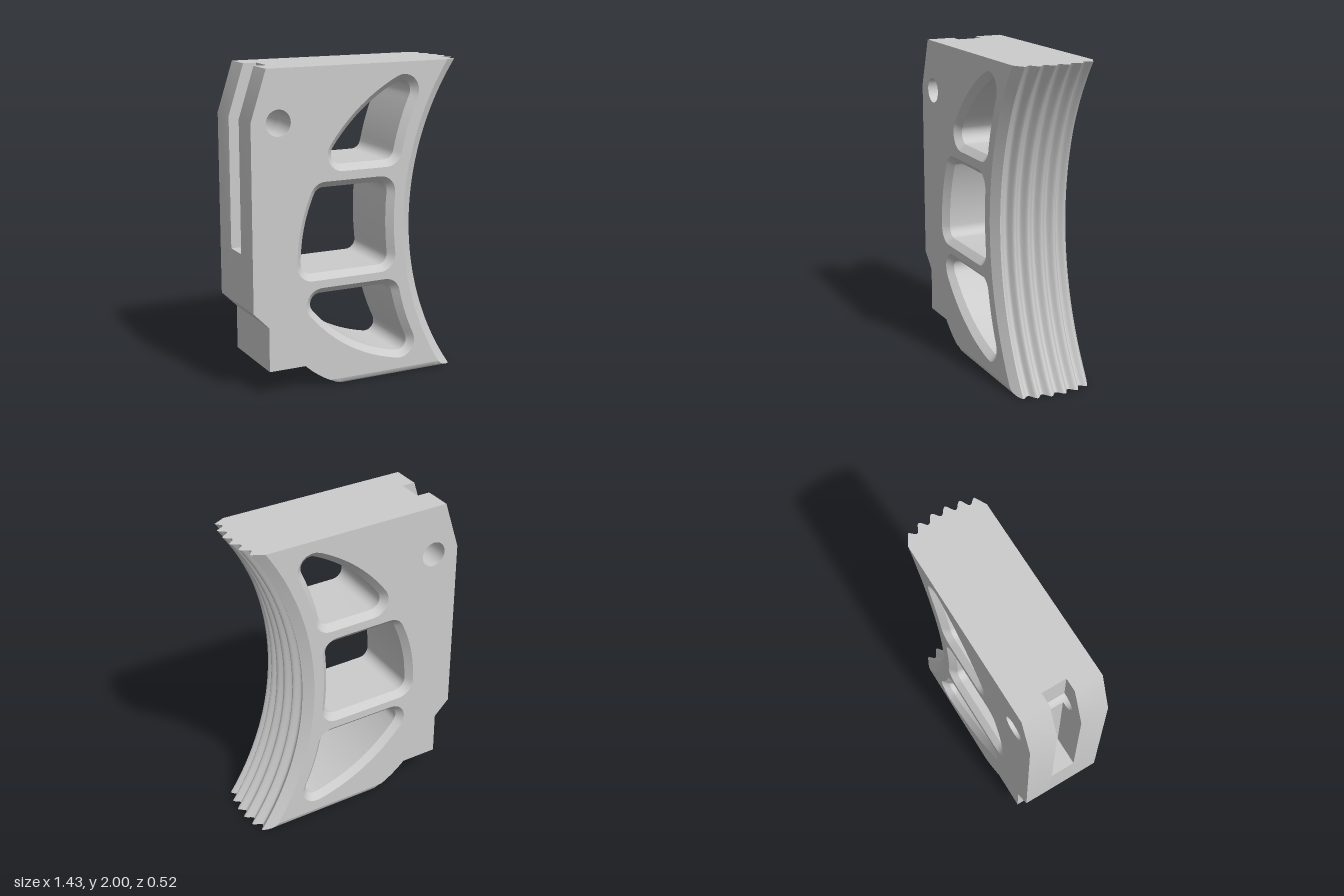
import * as THREE from 'three';
import { toCreasedNormals } from 'three/addons/utils/BufferGeometryUtils.js';

const HALF = 0.26, SLOT = 0.08, CHAMFER = 0.04, FILLET = 0.04;
const AXIS_X = 2.11; // axis of the concave ribbed face, at y = 1
const material = new THREE.MeshStandardMaterial({ color: 0xcccccc });

function addMesh(group, name, geometry) {
  const mesh = new THREE.Mesh(geometry, material);
  mesh.name = name;
  group.add(mesh);
}

// Surface from a grid of points f(i, j); faces along du x dv
function grid(nu, nv, f) {
  const pos = [];
  for (let i = 0; i < nu - 1; i++) {
    for (let j = 0; j < nv - 1; j++) {
      const a = f(i, j), b = f(i + 1, j), c = f(i + 1, j + 1), d = f(i, j + 1);
      pos.push(...a, ...b, ...c, ...a, ...c, ...d);
    }
  }
  const geo = new THREE.BufferGeometry();
  geo.setAttribute('position', new THREE.Float32BufferAttribute(pos, 3));
  geo.computeVertexNormals();
  return toCreasedNormals(geo, 0.5);
}

// Points of an edge from a to b, bowed outward by bulge (end point left out)
function bowed(a, b, bulge, n = 12) {
  const dx = b[0] - a[0], dy = b[1] - a[1], len = Math.hypot(dx, dy);
  return Array.from({ length: n }, (_, i) => {
    const t = i / n, h = bulge * 4 * t * (1 - t) / len;
    return [a[0] + dx * t + dy * h, a[1] + dy * t - dx * h];
  });
}

// Closed loop grown outward by r, with round corners
function offsetLoop(core, r) {
  const out = [], n = core.length;
  const normalAngle = (a, b) => Math.atan2(a[0] - b[0], b[1] - a[1]);
  core.forEach((p, i) => {
    const a0 = normalAngle(core[(i + n - 1) % n], p);
    let turn = normalAngle(p, core[(i + 1) % n]) - a0;
    turn = Math.atan2(Math.sin(turn), Math.cos(turn));
    const steps = turn > 0.2 ? [0, 1, 2, 3, 4, 5, 6, 7, 8].map(k => k / 8) : [0.5];
    for (const s of steps) {
      const a = a0 + turn * s;
      out.push([p[0] + r * Math.cos(a), p[1] + r * Math.sin(a)]);
    }
  });
  return out;
}

function arc(cx, cy, r, a0, a1, n = 32) {
  return Array.from({ length: n + 1 }, (_, i) => {
    const a = a0 + (a1 - a0) * i / n;
    return [cx + r * Math.cos(a), cy + r * Math.sin(a)];
  });
}

const toVectors = pts => pts.map(p => new THREE.Vector2(p[0], p[1]));

// Flat sheet at height z, facing +z or -z
function sheet(pts, holes, z, facing) {
  const shape = new THREE.Shape(toVectors(pts));
  shape.holes = holes.map(h => new THREE.Path(toVectors(h)));
  const geo = new THREE.ShapeGeometry(shape);
  if (facing < 0) {
    const idx = geo.index.array;
    for (let i = 0; i < idx.length; i += 3) [idx[i], idx[i + 1]] = [idx[i + 1], idx[i]];
    geo.computeVertexNormals();
  }
  return geo.translate(0, 0, z);
}

// Bottom edges are rounded towards the two faces
function lift(z) {
  const t = Math.max(0, (Math.abs(z) - (HALF - FILLET)) / FILLET);
  return FILLET * (1 - Math.sqrt(Math.max(0, 1 - t * t)));
}

const liftPoints = (pts, z) => pts.map(([x, y]) => [x, Math.max(y, lift(z))]);

// Rib profile [z, x at the top end]: straight flanks, then waves
function ribProfile() {
  const half = [[-0.22, 0.674], [-0.175, 0.645], [-0.135, 0.70], [-0.09, 0.661], [-0.045, 0.712], [0, 0.671]];
  const keys = [...half, ...half.slice(0, -1).reverse().map(([z, x]) => [-z, x])];
  const flank = [0, 1, 2, 3, 4, 5].map(i => [-HALF + 0.04 * i / 6, 0.60 + 0.074 * i / 6]);
  const pts = [...flank];
  for (let k = 0; k < keys.length - 1; k++) {
    const [z0, x0] = keys[k], [z1, x1] = keys[k + 1];
    for (let i = 0; i < 8; i++) {
      const t = i / 8;
      pts.push([z0 + (z1 - z0) * t, x0 + (x1 - x0) * (1 - Math.cos(Math.PI * t)) / 2]);
    }
  }
  pts.push(keys[keys.length - 1], ...flank.reverse().map(([z, x]) => [-z, x]));
  return pts;
}

// x of the concave face at height y, for a profile point that reaches xTop at the end
function concaveX(xTop, y) {
  const r2 = (AXIS_X - xTop) ** 2 + 1;
  return AXIS_X - Math.sqrt(r2 - (y - 1) ** 2);
}

export function createModel() {
  const group = new THREE.Group();
  group.name = 'ribbedBlock';
  const inner = 0.55, slotX = -0.535, slotY = 0.87;

  // Outlines, counter-clockwise from the top right
  const lower = [[-0.72, 0.54], [-0.62, 0.44], [-0.62, 0.16],
    ...bowed([-0.38, 0.16], [-0.11, 0], 0.018), [-0.11, 0], [inner, 0]];
  const outline = [[inner, 2], [-0.62, 2], [-0.72, 1.69], ...lower];
  const pin = { x: -0.545, y: 1.68, r: 0.08 };
  const cut = Math.acos((slotX - pin.x) / pin.r);
  const slotted = [[inner, 2], [slotX, 2], ...arc(pin.x, pin.y, pin.r, cut, -cut),
    [slotX, slotY], [-0.72, slotY], ...lower];
  const slotSide = [[slotX, 2], [-0.62, 2], [-0.72, 1.69], [-0.72, slotY], [slotX, slotY],
    ...arc(pin.x, pin.y, pin.r, 2 * Math.PI - cut, cut)];

  // Window cores: [corner, bulge of the edge that follows]
  const windows = [
    [[[-0.12, 1.465], 0], [[0.18, 1.465], -0.01], [[0.295, 1.82], 0.035]],
    [[[-0.325, 0.8], 0], [[0.14, 0.8], -0.01], [[0.135, 1.2], 0], [[-0.24, 1.2], 0.022]],
    [[[-0.265, 0.54], 0.055], [[0.285, 0.215], -0.01], [[0.175, 0.54], 0]],
  ].map(w => w.flatMap(([p, bulge], i) => bowed(p, w[(i + 1) % w.length][0], bulge, bulge ? 12 : 1)));
  const wide = windows.map(w => offsetLoop(w, 0.105));
  const narrow = windows.map(w => offsetLoop(w, 0.065));
  const pinLoop = arc(pin.x, pin.y, pin.r, 0, 2 * Math.PI);

  const profile = ribProfile();
  const rows = Array.from({ length: 49 }, (_, i) => i / 24);

  // Front and back faces
  const face = [...liftPoints(outline, HALF), ...rows.map(v => {
    const y = Math.max(v, lift(HALF));
    return [concaveX(profile[0][1], y), y];
  })];
  addMesh(group, 'frontFace', sheet(face, [...wide, pinLoop.slice(0, -1)], HALF, 1));
  addMesh(group, 'backFace', sheet(face, [...wide, pinLoop.slice(0, -1)], -HALF, -1));

  // Outer walls, with the slot in the middle layer
  const wall = (name, pts, zs) => addMesh(group, name, grid(pts.length, zs.length,
    (i, j) => [...liftPoints([pts[i]], zs[j])[0], zs[j]]));
  const edgeZ = profile.slice(0, 7).map(p => p[0]);
  wall('backWall', outline, [...edgeZ, -SLOT]);
  wall('slottedWall', slotted, [-SLOT, SLOT]);
  wall('frontWall', outline, [SLOT, ...edgeZ.map(z => -z).reverse()]);
  addMesh(group, 'slotSideFront', sheet(slotSide, [], SLOT, -1));
  addMesh(group, 'slotSideBack', sheet(slotSide, [], -SLOT, 1));

  // Pin hole on both sides of the slot
  const pinWall = [...pinLoop].reverse();
  wall('pinHoleFront', pinWall, [SLOT, HALF]);
  wall('pinHoleBack', pinWall, [-HALF, -SLOT]);

  // Window walls with chamfered rims
  windows.forEach((_, k) => {
    const closed = loop => [...loop, loop[0]].reverse();
    const a = closed(wide[k]), b = closed(narrow[k]);
    const layers = [[a, -HALF], [b, -HALF + CHAMFER], [b, HALF - CHAMFER], [a, HALF]];
    addMesh(group, 'window' + (k + 1), grid(a.length, 4, (i, j) => [...layers[j][0][i], layers[j][1]]));
  });

  // Concave ribbed face and its two ends
  const rib = (j, v) => {
    const [z, xTop] = profile[j], y = Math.max(v, lift(z));
    return [concaveX(xTop, y), y, z];
  };
  const innerEdge = (j, v) => [inner, Math.max(v, lift(profile[j][0])), profile[j][0]];
  const n = profile.length;
  addMesh(group, 'ribbedFace', grid(rows.length, n, (i, j) => rib(j, rows[i])));
  addMesh(group, 'ribTopEnd', grid(n, 2, (j, k) => (k ? rib(j, 2) : innerEdge(j, 2))));
  addMesh(group, 'ribBottomEnd', grid(2, n, (k, j) => (k ? rib(j, 0) : innerEdge(j, 0))));
  // The end strips: z cross x points up, x cross z points down
  return group;
}
